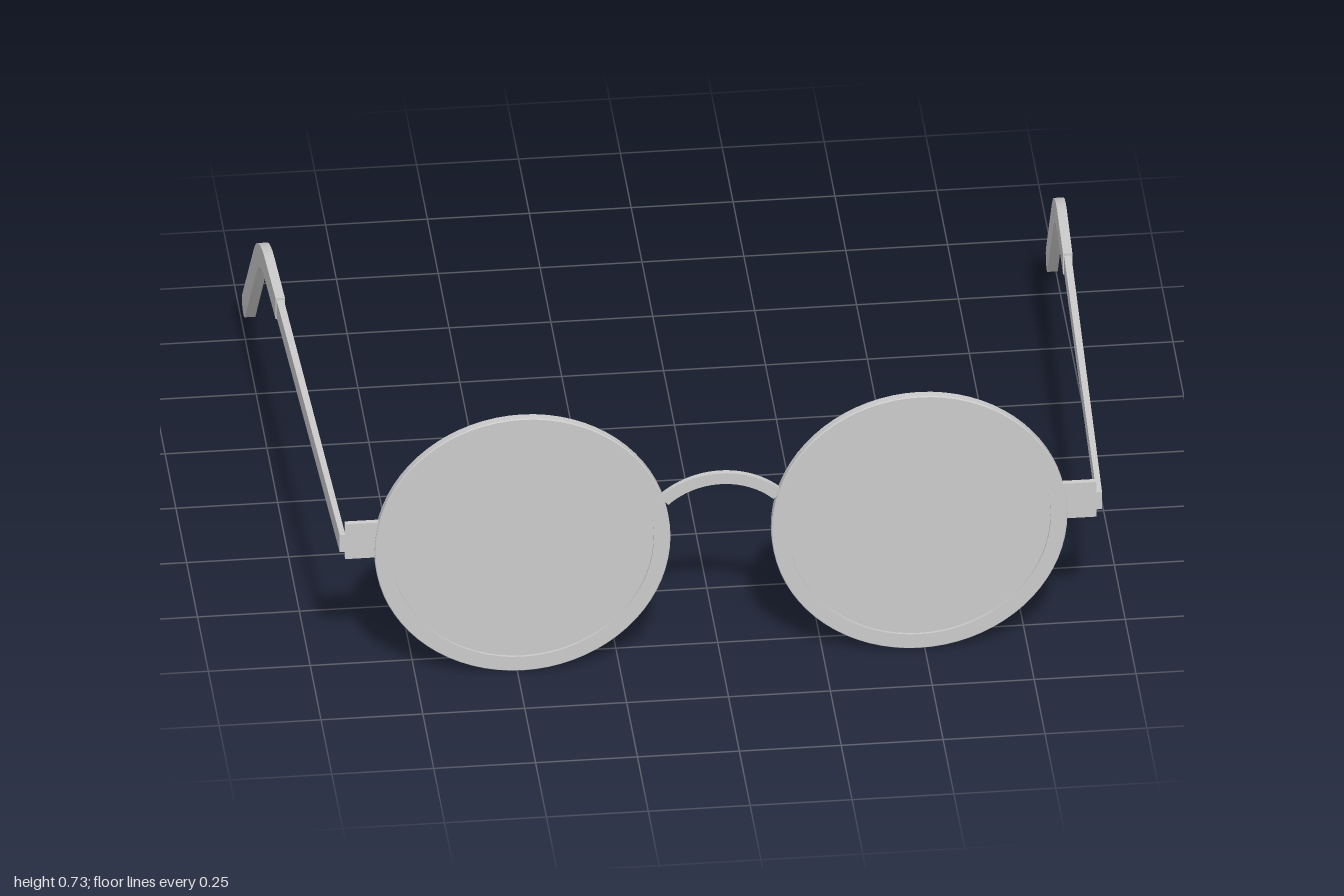
import * as THREE from 'three';
import { toCreasedNormals } from 'three/addons/utils/BufferGeometryUtils.js';

const material = new THREE.MeshStandardMaterial({ color: 0xcccccc });
const FRONT_Z = 0.817, LENS_X = 0.487, LENS_Y = 0.365, RIM_R = 0.363;

function addMesh(parent, name, geometry) {
  const mesh = new THREE.Mesh(geometry, material);
  mesh.name = name;
  parent.add(mesh);
  return mesh;
}

// Rectangular ring with softened outer edges, turned to face +z
function rimGeometry() {
  const inner = 0.322, h = 0.012, c = 0.002;
  const profile = [
    [inner, -h], [RIM_R - c, -h], [RIM_R, -h + c],
    [RIM_R, h - c], [RIM_R - c, h], [inner, h], [inner, -h],
  ].map(([r, y]) => new THREE.Vector2(r, y));
  return toCreasedNormals(new THREE.LatheGeometry(profile, 72).rotateX(Math.PI / 2), 0.5);
}

// Flat arched band joining the two rims
function bridgeGeometry() {
  const outer = 0.218, width = 0.031, cy = 0.536 - outer, half = 0.76;
  const shape = new THREE.Shape();
  shape.absarc(0, cy, outer, Math.PI / 2 - half, Math.PI / 2 + half, false);
  shape.absarc(0, cy, outer - width, Math.PI / 2 + half, Math.PI / 2 - half, true);
  const g = new THREE.ExtrudeGeometry(shape, { depth: 0.014, bevelEnabled: false, curveSegments: 28 });
  return toCreasedNormals(g.translate(0, 0, FRONT_Z - 0.007), 0.5);
}

// Side outline (u = -z, y) extruded across x, splayed outwards and widened to the rear
function armGeometry(shape, side, frontWidth, rearWidth) {
  const g = new THREE.ExtrudeGeometry(shape, { depth: 1, bevelEnabled: false, curveSegments: 16 });
  g.translate(0, 0, -0.5).rotateY(Math.PI / 2);
  g.computeBoundingBox();
  const { min, max } = g.boundingBox;
  const p = g.attributes.position;
  for (let i = 0; i < p.count; i++) {
    const z = p.getZ(i);
    const t = (max.z - z) / (max.z - min.z);
    const centre = 0.9285 + (0.82 - z) * 0.0349;
    p.setX(i, side * centre + p.getX(i) * THREE.MathUtils.lerp(frontWidth, rearWidth, t));
  }
  g.computeVertexNormals();
  return toCreasedNormals(g, 0.5);
}

function templeShape() {
  const s = new THREE.Shape();
  s.moveTo(-0.824, 0.371);
  s.lineTo(0.28, 0.371);
  s.lineTo(0.28, 0.42);
  s.lineTo(-0.824, 0.42);
  return s;
}

// Constant-width band along a bent centre line, with a rounded tip
function earHookShape() {
  const r = 0.03;
  const bend = new THREE.QuadraticBezierCurve(
    new THREE.Vector2(0.445, 0.396), new THREE.Vector2(0.547, 0.396), new THREE.Vector2(0.61, 0.316));
  const tip = new THREE.Vector2(0.805, 0.066);
  const upper = [new THREE.Vector2(0.26, 0.396 + r)];
  const lower = [new THREE.Vector2(0.26, 0.396 - r)];
  for (let i = 0; i <= 16; i++) {
    const c = bend.getPoint(i / 16), t = bend.getTangent(i / 16);
    upper.push(new THREE.Vector2(c.x - t.y * r, c.y + t.x * r));
    lower.push(new THREE.Vector2(c.x + t.y * r, c.y - t.x * r));
  }
  const end = bend.getTangent(1), heading = Math.atan2(end.y, end.x);
  const cap = [];
  for (let i = 0; i <= 14; i++) {
    const a = heading + Math.PI / 2 - (i / 14) * Math.PI;
    cap.push(new THREE.Vector2(tip.x + Math.cos(a) * r, tip.y + Math.sin(a) * r));
  }
  return new THREE.Shape([...upper, ...cap, ...lower.reverse()]);
}

export function createModel() {
  const glasses = new THREE.Group();
  glasses.name = 'glasses';

  for (const side of [1, -1]) {
    const label = side > 0 ? 'left' : 'right';

    // Rim and lens
    addMesh(glasses, label + 'Rim', rimGeometry()).position.set(side * LENS_X, LENS_Y, FRONT_Z);
    const lens = new THREE.CylinderGeometry(0.326, 0.326, 0.012, 72).rotateX(Math.PI / 2);
    addMesh(glasses, label + 'Lens', lens).position.set(side * LENS_X, LENS_Y, FRONT_Z);

    // End piece between rim and temple
    addMesh(glasses, label + 'EndPiece', new THREE.BoxGeometry(0.095, 0.1, 0.014))
      .position.set(side * 0.8745, 0.4, FRONT_Z);

    // Temple arm with its thicker ear hook
    const arm = new THREE.Group();
    arm.name = label + 'Arm';
    addMesh(arm, label + 'Temple', armGeometry(templeShape(), side, 0.014, 0.018));
    addMesh(arm, label + 'EarHook', armGeometry(earHookShape(), side, 0.023, 0.026));
    glasses.add(arm);
  }

  addMesh(glasses, 'bridge', bridgeGeometry());
  return glasses;
}
